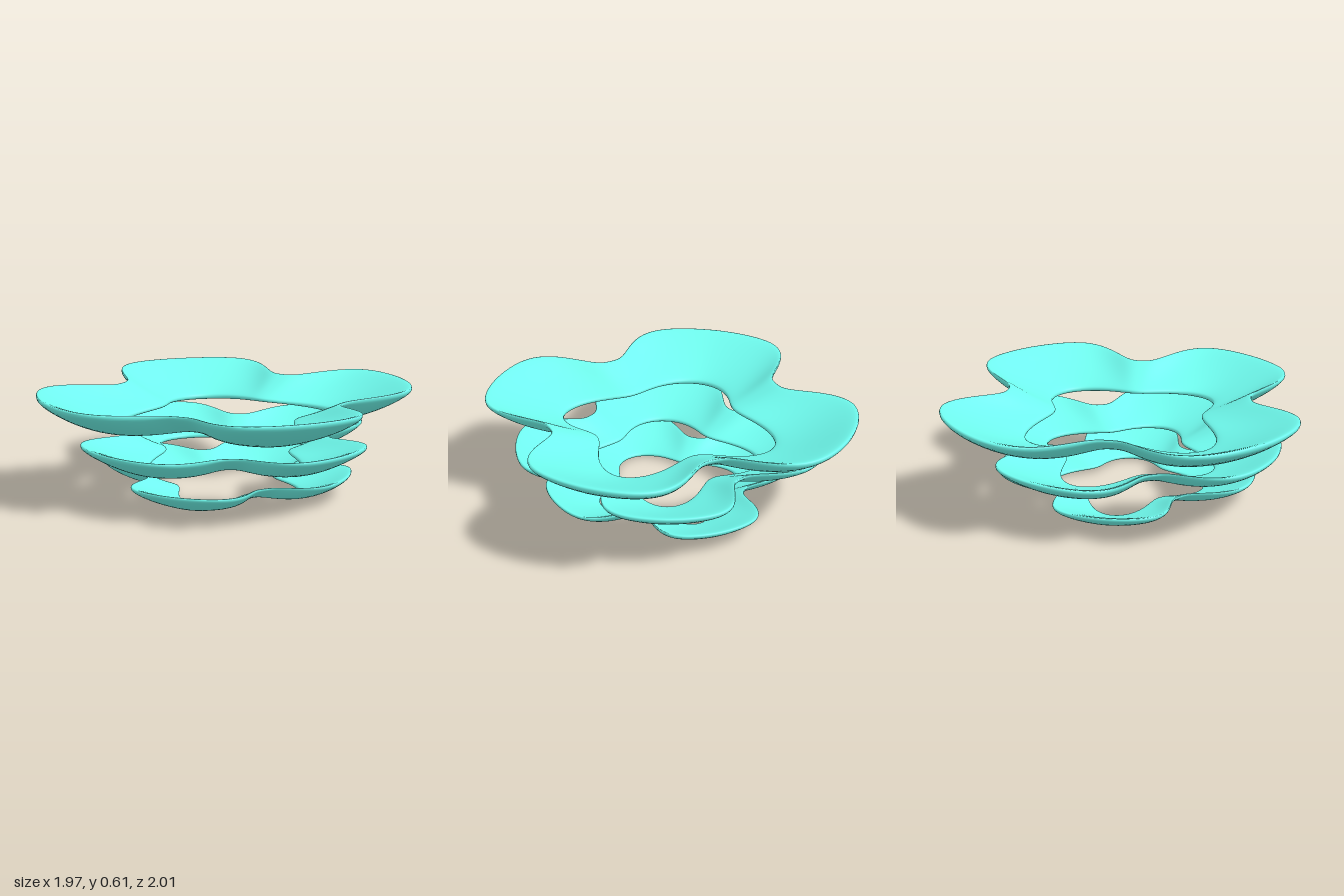
import * as THREE from 'three';

const AROUND = 192, SECTION = 40;

// Inner and outer rim radius: soft lobes inside, wide lobes with tighter notches outside
function rimRadii(angle) {
  const u = Math.abs(Math.sin(angle * 2));
  // one lobe is slightly shorter than the others
  const reach = 1 - 0.09 * Math.max(0, Math.cos(angle - Math.PI / 4));
  return {
    inner: 0.44 + 0.22 * reach * u * u,
    outer: 0.725 + 0.39 * reach * (1 - Math.exp(-Math.pow(u / 0.56, 2.9))),
  };
}

function petalRing() {
  const positions = [], indices = [];
  for (let i = 0; i < AROUND; i++) {
    const a = (i / AROUND) * Math.PI * 2;
    const { inner, outer } = rimRadii(a);
    // slightly uneven spacing of the lobes
    const dir = a - 0.078 * Math.sin(a) - 0.01 * Math.cos(a) + 0.02 * Math.cos(a) ** 2;
    for (let j = 0; j < SECTION; j++) {
      // thin cupped cross-section: low inner rim, raised outer rim
      const phi = (j / SECTION) * Math.PI * 2;
      const t = (Math.cos(phi) + 1) / 2, s = Math.sin(phi);
      const r = inner + (outer - inner) * t;
      const size = inner / 0.61 + (outer - inner / 0.61) * t;
      const lift = -0.08 + 0.16 * Math.pow(t, 1.5);
      const thickness = 0.032 * Math.sign(s) * Math.pow(Math.abs(s), 0.65);
      positions.push(r * Math.cos(dir), size * (lift + thickness), r * Math.sin(dir));
      const i2 = (i + 1) % AROUND, j2 = (j + 1) % SECTION;
      const p = i * SECTION + j, pj = i * SECTION + j2;
      const q = i2 * SECTION + j, qj = i2 * SECTION + j2;
      indices.push(p, pj, q, pj, qj, q);
    }
  }
  const geometry = new THREE.BufferGeometry();
  geometry.setAttribute('position', new THREE.Float32BufferAttribute(positions, 3));
  geometry.setIndex(indices);
  geometry.computeVertexNormals();
  return geometry;
}

export function createModel() {
  const model = new THREE.Group();
  model.name = 'petalRings';
  const material = new THREE.MeshStandardMaterial({ color: 0x70fdf0 });
  const geometry = petalRing();

  // Three stacked rings, each smaller and turned further than the one above
  const rings = [
    { name: 'topRing', y: 0.517 },
    { name: 'middleRing', y: 0.277 },
    { name: 'bottomRing', y: 0.077 },
  ];
  rings.forEach(({ name, y }, i) => {
    const ring = new THREE.Mesh(geometry, material);
    ring.name = name;
    ring.scale.setScalar(Math.pow(0.83, i));
    ring.rotation.y = 0.4 * i;
    ring.position.y = y;
    model.add(ring);
  });
  return model;
}
